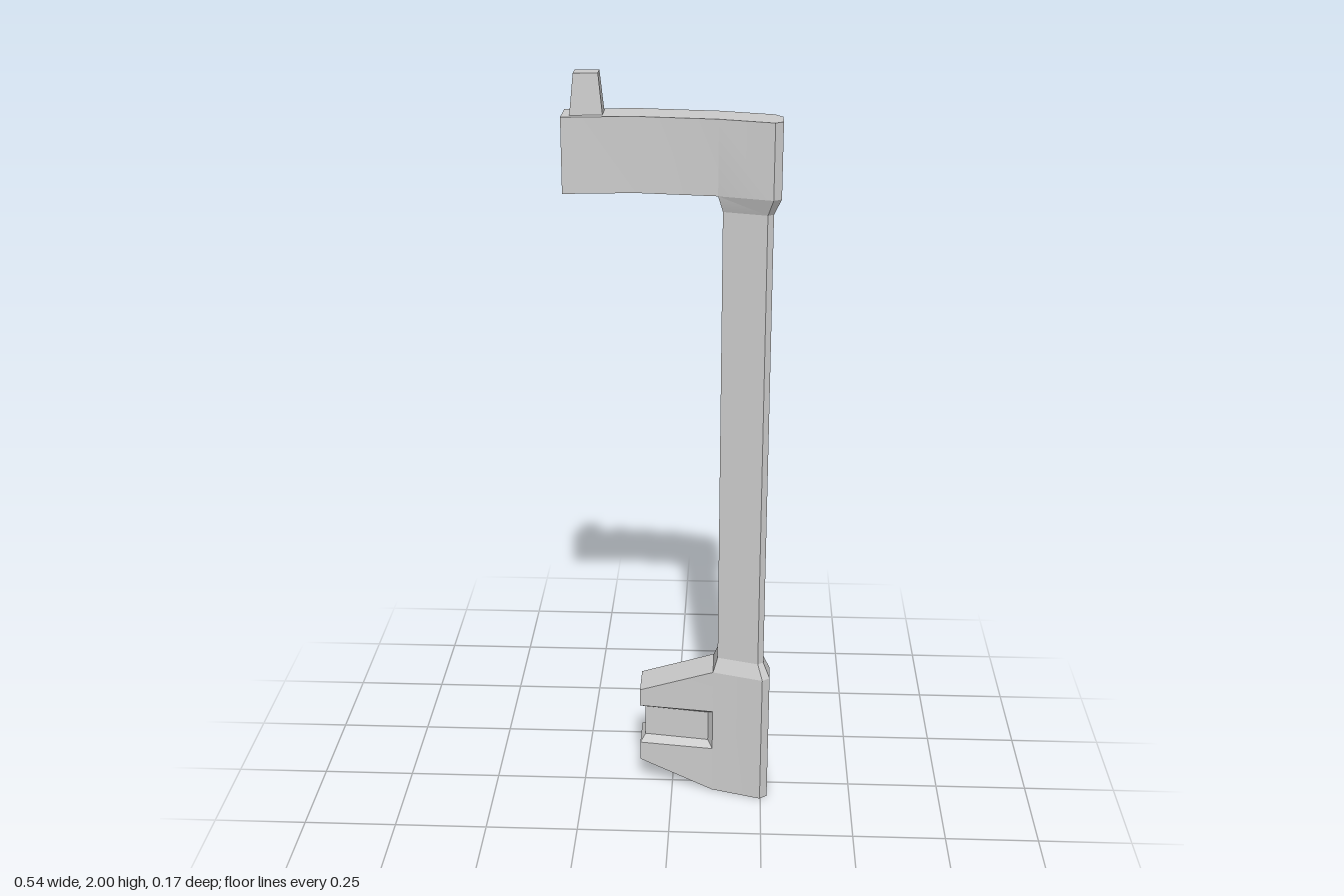
import * as THREE from 'three';
import { mergeGeometries, toCreasedNormals } from 'three/addons/utils/BufferGeometryUtils.js';

// Closed solid through rings of [x, y, z] points, wound outward
function loft(rings) {
  const tris = [];
  const n = rings[0].length;
  for (let r = 0; r < rings.length - 1; r++) {
    const a = rings[r], b = rings[r + 1];
    for (let i = 0; i < n; i++) {
      const j = (i + 1) % n;
      tris.push([a[i], a[j], b[j]], [a[i], b[j], b[i]]);
    }
  }
  const first = rings[0], last = rings[rings.length - 1];
  for (let i = 1; i < n - 1; i++) {
    tris.push([first[0], first[i + 1], first[i]], [last[0], last[i], last[i + 1]]);
  }
  // signed volume decides the winding
  const v = (p) => new THREE.Vector3(...p);
  const volume = tris.reduce((s, [a, b, c]) => s + v(a).dot(v(b).cross(v(c))), 0);
  if (volume < 0) tris.forEach((t) => t.reverse());
  const geometry = new THREE.BufferGeometry();
  geometry.setAttribute('position', new THREE.Float32BufferAttribute(tris.flat(2), 3));
  return geometry;
}

// Plan outlines [x, z] of the thick ends and of the slimmer post
const WIDE = [[0.113, -0.06], [0.248, -0.021], [0.268, 0.007], [0.268, 0.068], [0.248, 0.083], [0.113, 0.043]];
const SLIM = [[0.125, -0.038], [0.233, -0.008], [0.25, 0.014], [0.25, 0.052], [0.235, 0.063], [0.125, 0.031]];
const level = (plan, y) => plan.map(([x, z]) => [x, y, z]);

// Upright rectangle at one x
const rect = (x, y0, y1, z0, z1) => [[x, y0, z0], [x, y1, z0], [x, y1, z1], [x, y0, z1]];

// Grooved wing: two prongs joined by a thinner web
const TIP = { x: -0.09, coreX: -0.076, back: -0.085, front: 0.018 };
const ROOT = { x: 0.113, coreX: 0.1, back: -0.06, front: 0.043 };
const DEPTH = 0.02;

function prong(tipY, rootY, lipY, coreY) {
  const ring = (s, outerY) => [
    [s.x, lipY, s.front],
    [s.coreX, coreY, s.front - DEPTH],
    [s.coreX, coreY, s.back + DEPTH],
    [s.x, lipY, s.back],
    [s.x, outerY, s.back],
    [s.x, outerY, s.front],
  ];
  return loft([ring(TIP, tipY), ring(ROOT, rootY)]);
}

function web() {
  const core = (s) => rect(s.coreX, 0.152, 0.241, s.back + DEPTH, s.front - DEPTH);
  return loft([core(TIP), core(ROOT), rect(ROOT.x, 0.135, 0.255, ROOT.back, ROOT.front)]);
}

export function createModel() {
  const group = new THREE.Group();
  const material = new THREE.MeshStandardMaterial({ color: 0xcccccc });
  const add = (name, ...parts) => {
    const mesh = new THREE.Mesh(toCreasedNormals(mergeGeometries(parts), 0.35), material);
    mesh.name = name;
    group.add(mesh);
  };

  // Lower block with its side wing
  add('lowerBlock',
    loft([level(WIDE, 0), level(WIDE, 0.38), level(SLIM, 0.42)]),
    prong(0.305, 0.38, 0.255, 0.241),
    prong(0.08, 0, 0.135, 0.152),
    web());

  // Slim upright
  add('post', loft([level(SLIM, 0.42), level(SLIM, 1.67)]));

  // Upper block and the bent arm
  add('upperArm',
    loft([level(SLIM, 1.67), level(WIDE, 1.712), level(WIDE, 1.9)]),
    loft([
      rect(-0.27, 1.712, 1.9, -0.068, 0.035),
      rect(TIP.x, 1.712, 1.9, TIP.back, TIP.front),
      rect(ROOT.x, 1.712, 1.9, ROOT.back, ROOT.front),
    ]));

  // Tapered peg on the arm's end
  add('peg', loft([
    level([[-0.25, -0.046], [-0.17, -0.055], [-0.17, 0.004], [-0.25, 0.013]], 1.9),
    level([[-0.24, -0.042], [-0.18, -0.048], [-0.18, -0.001], [-0.24, 0.005]], 2),
  ]));

  return group;
}
